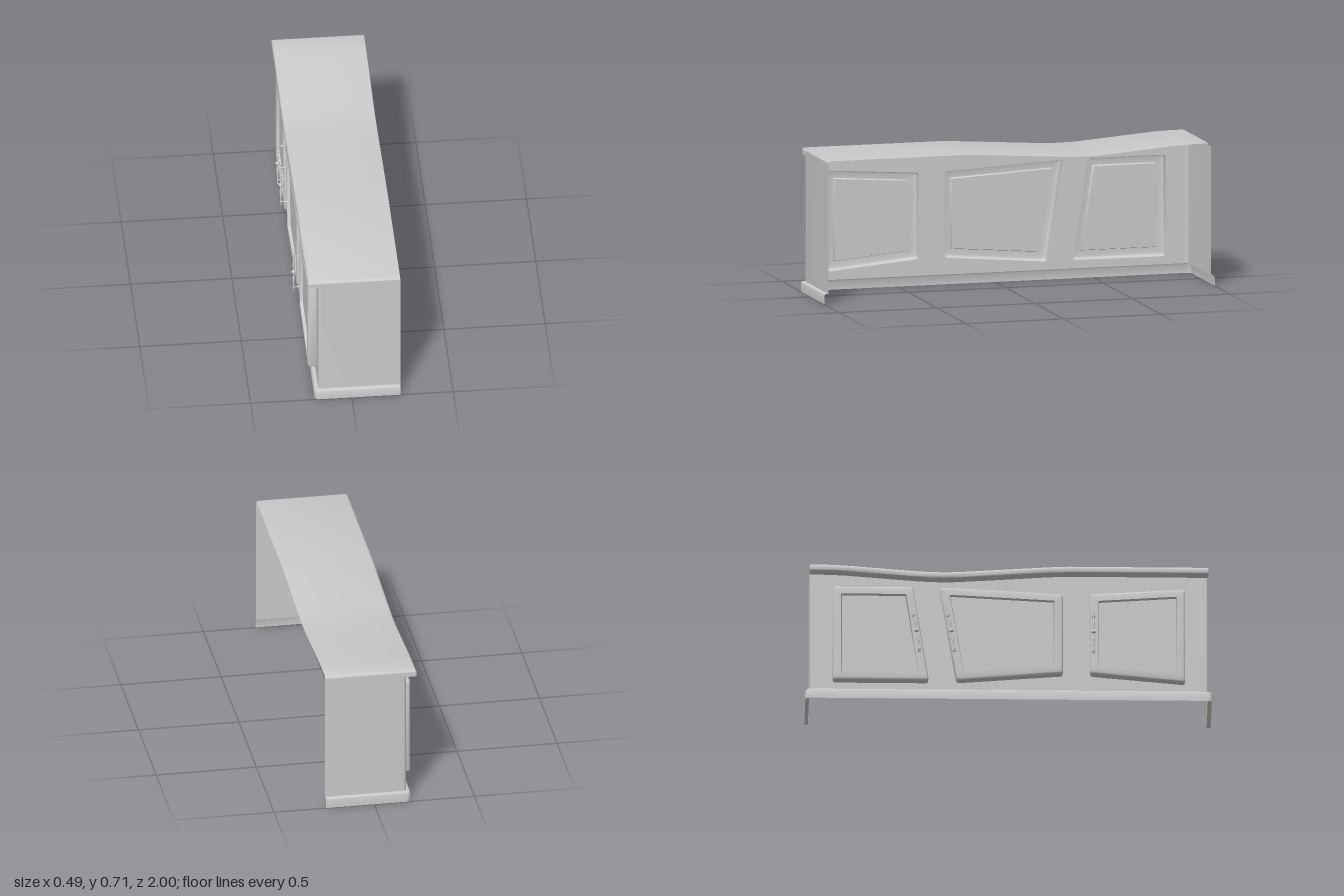
import * as THREE from 'three';
import { toCreasedNormals } from 'three/addons/utils/BufferGeometryUtils.js';

const material = new THREE.MeshStandardMaterial({ color: 0xcccccc, side: THREE.DoubleSide });
const FRONT = -0.163, BACK = 0.241, END = 0.98, LIP = 0.035;

function mesh(name, geometry) {
  const m = new THREE.Mesh(geometry, material);
  m.name = name;
  return m;
}

// Skin a list of equal-length rings of [x, y, z] points
function loft(rings, closed = false) {
  const n = rings[0].length, index = [];
  for (let i = 0; i < rings.length - 1; i++) {
    for (let j = 0; j < (closed ? n : n - 1); j++) {
      const k = (j + 1) % n;
      const a = i * n + j, b = i * n + k, c = b + n, d = a + n;
      index.push(a, c, b, a, d, c);
    }
  }
  const g = new THREE.BufferGeometry();
  g.setAttribute('position', new THREE.Float32BufferAttribute(rings.flat(2), 3));
  g.setIndex(index);
  g.computeVertexNormals();
  return toCreasedNormals(g, 0.7);
}

// Flat sheet drawn in (z, y) and placed facing -x
function sheet(points, x, holes = []) {
  const shape = new THREE.Shape(points);
  shape.holes = holes.map((h) => new THREE.Path(h));
  return new THREE.ShapeGeometry(shape).rotateY(-Math.PI / 2).translate(x, 0, 0);
}

// Height of the worktop along z: level ends with an off-centre dip
const DIP = [[-0.98, 0], [-0.88, 0], [-0.8, -0.004], [-0.46, -0.031], [-0.39, -0.035],
  [-0.33, -0.036], [-0.27, -0.035], [-0.2, -0.031], [0.2, -0.004], [0.3, 0], [0.98, 0]];
function topHeight(z) {
  for (let i = 1; i < DIP.length; i++) {
    const [z0, y0] = DIP[i - 1], [z1, y1] = DIP[i];
    if (z <= z1) return 0.711 + y0 + (y1 - y0) * (z - z0) / (z1 - z0);
  }
  return 0.711;
}

// U-shaped plan of the carcass, open at the back, pushed outwards by off
function plan(off, y) {
  const r = 0.012 + off * 0.6, x = FRONT - off + r, z = END + off - r;
  const pts = [[BACK, y, z + r]];
  for (const s of [1, -1]) {
    for (let i = 0; i <= 6; i++) {
      const a = (s > 0 ? i : 6 - i) / 6 * Math.PI / 2;
      pts.push([x - r * Math.sin(a), y, s * (z + r * Math.cos(a))]);
    }
  }
  pts.push([BACK, y, -z - r]);
  return pts;
}

// Inset a four-sided door outline by d and round its corners
function outline(corners, d, r) {
  const v = corners.map((c) => new THREE.Vector2(...c));
  const dir = v.map((p, i) => v[(i + 1) % 4].clone().sub(p).normalize());
  const pts = [];
  v.forEach((p, i) => {
    const before = dir[(i + 3) % 4], after = dir[i];
    const n1 = new THREE.Vector2(before.y, -before.x), n2 = new THREE.Vector2(after.y, -after.x);
    const c = p.clone().addScaledVector(n1.clone().add(n2), d / (1 + n1.dot(n2)));
    const curve = new THREE.QuadraticBezierCurve(
      c.clone().addScaledVector(before, -r), c, c.clone().addScaledVector(after, r));
    pts.push(...curve.getPoints(5));
  });
  return pts;
}

// Hollow door: rounded raised rim around a recessed panel
function door(corners) {
  const g = new THREE.Group();
  g.name = 'door';
  const sections = [[0, FRONT, 0.016], [0, -0.193, 0.016], [0.002, -0.199, 0.015], [0.006, -0.203, 0.013],
    [0.012, -0.205, 0.01], [0.041, -0.205, 0.002], [0.045, -0.19, 0.002]];
  const rings = sections.map(([d, x, r]) => outline(corners, d, r).map((p) => [x, p.y, p.x]));
  g.add(mesh('doorRim', loft(rings, true)));
  g.add(mesh('doorPanel', sheet(outline(corners, 0.045, 0.002), -0.19)));
  return g;
}

function lathe(profile, sides = 14) {
  return new THREE.LatheGeometry(profile.map((p) => new THREE.Vector2(...p)), sides);
}

// Turned pull handle: baluster bar, centre bead and two flared posts
function handle(z, tilt) {
  const g = new THREE.Group();
  g.name = 'handle';
  const half = [[0.0035, 0.01], [0.003, 0.015], [0.0055, 0.032], [0.0065, 0.043], [0.005, 0.06],
    [0.003, 0.085], [0.0045, 0.09], [0.005, 0.095], [0.0045, 0.1], [0.002, 0.104],
    [0.002, 0.108], [0.0035, 0.113], [0.0025, 0.117], [0, 0.119]];
  const mirrored = half.map(([r, y]) => [r, -y]).reverse();
  g.add(mesh('handleBar', lathe([...mirrored, ...half])));
  const bead = mesh('handleBead', new THREE.SphereGeometry(0.0115, 16, 10));
  bead.scale.y = 0.8;
  g.add(bead);
  for (const s of [-1, 1]) {
    const post = mesh('handlePost', lathe([[0, -0.004], [0.003, -0.003], [0.0025, 0.008],
      [0.0035, 0.018], [0.005, 0.023], [0.0095, 0.026], [0.0095, 0.029]]));
    post.rotation.z = -Math.PI / 2;
    post.position.y = s * 0.095;
    g.add(post);
  }
  g.position.set(-0.233, 0.346, z);
  g.rotation.x = tilt;
  return g;
}

export function createModel() {
  const model = new THREE.Group();
  model.name = 'cabinet';

  // Door outlines as (z, y) corners
  const doors = [
    [[0.866, 0.093], [0.398, 0.135], [0.398, 0.565], [0.866, 0.597]],
    [[0.265, 0.135], [-0.258, 0.093], [-0.341, 0.597], [0.265, 0.565]],
    [[-0.394, 0.092], [-0.866, 0.092], [-0.866, 0.597], [-0.47, 0.597]],
  ];

  // Plinth with a rounded upper edge
  model.add(mesh('plinth', loft([[0.02, 0], [0.02, 0.044], [0.018, 0.049], [0.014, 0.052], [0, 0.052]]
    .map(([off, y]) => plan(off, y)))));

  // End walls, each turning the rounded front corner
  const low = plan(0, 0.052), high = plan(0, 0.7), n = low.length / 2;
  model.add(mesh('leftWall', loft([low.slice(0, n), high.slice(0, n)])));
  model.add(mesh('rightWall', loft([low.slice(n), high.slice(n)])));

  // Front wall with door openings and a dipping upper edge
  const e = END - 0.012;
  const edge = [e, ...DIP.map((p) => p[0]).filter((z) => Math.abs(z) < e).reverse(), -e];
  const wall = [[-e, 0.052], [e, 0.052], ...edge.map((z) => [z, topHeight(z) - LIP])]
    .map((p) => new THREE.Vector2(...p));
  model.add(mesh('frontWall', sheet(wall, FRONT, doors.map((d) => outline(d, 0, 0.016)))));

  // Worktop with a rounded, hollow front lip
  const stations = [END, 0.978, 0.974, 0.968, ...edge.slice(1, -1).filter((z) => Math.abs(z) < 0.96),
    -0.968, -0.974, -0.978, -END];
  const section = [[BACK, 0], [-0.203, 0], [-0.209, -0.002], [-0.213, -0.006], [-0.215, -0.012],
    [-0.215, -0.029], [-0.213, -0.033], [-0.209, -LIP], [FRONT, -LIP]];
  const rings = stations.map((z) => {
    const t = Math.max(0, (Math.abs(z) - 0.968) / 0.012);
    const drop = 0.012 * (1 - Math.sqrt(1 - Math.min(1, t * t)));
    return section.map(([x, y]) => [x, topHeight(z) + Math.min(y, -drop), z]);
  });
  model.add(mesh('worktop', loft(rings)));

  // Caps closing the two ends of the lip
  for (const s of [1, -1]) {
    const cap = new THREE.Shape([[FRONT + 0.014, -0.012], ...section.slice(4), [FRONT + 0.014, -LIP]]
      .map(([x, y]) => new THREE.Vector2(x, 0.711 + y)));
    const m = mesh('lipEnd', new THREE.ShapeGeometry(cap));
    if (s < 0) m.geometry.rotateY(Math.PI).scale(-1, 1, 1);
    m.position.z = s * END;
    model.add(m);
  }

  // Doors and their handles, tilted along the slanted edges
  doors.forEach((d) => model.add(door(d)));
  model.add(handle(0.415, 0), handle(-0.283, -0.16), handle(-0.455, -0.15));
  return model;
}
